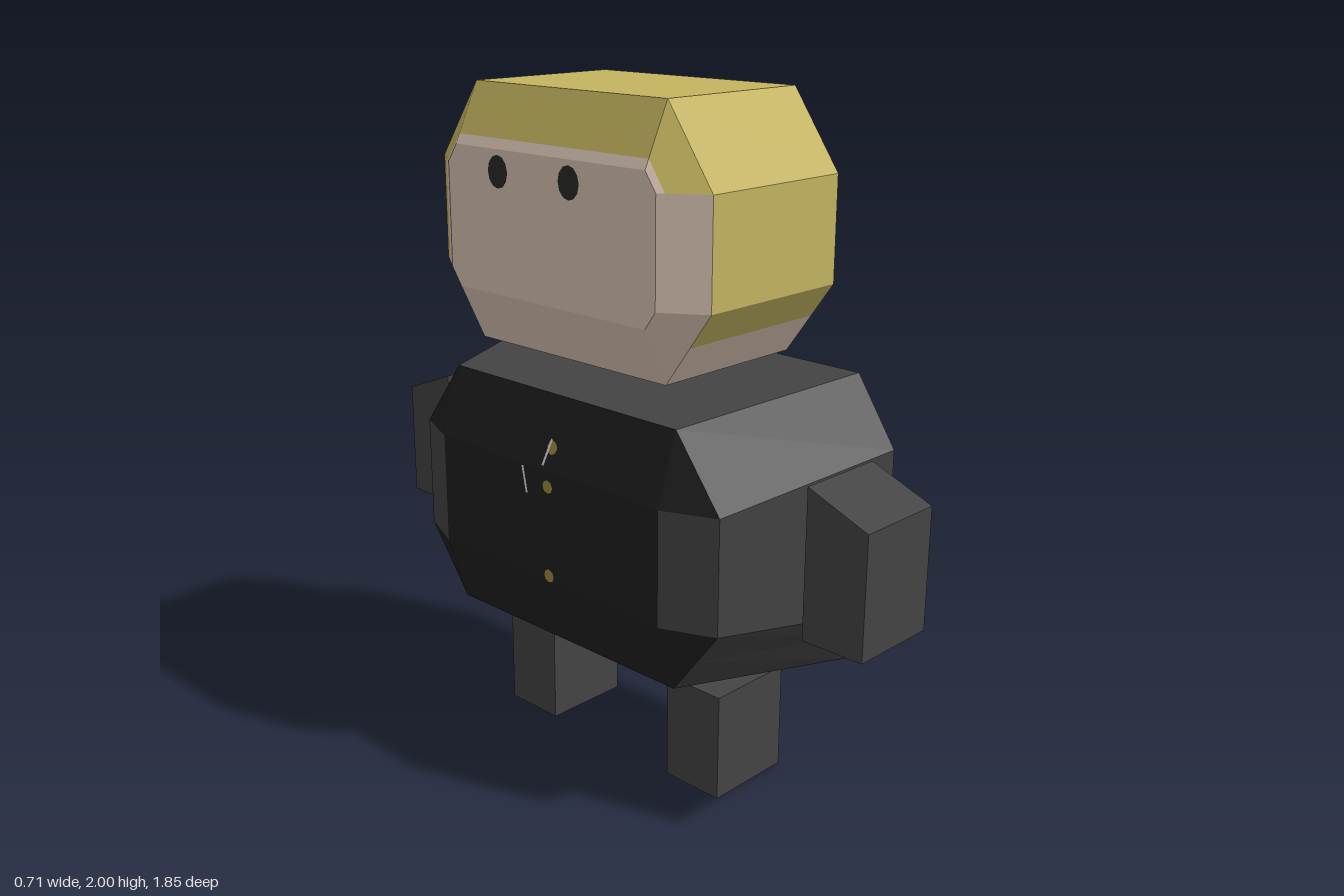
import * as THREE from 'three';

const mat = (name, color) => Object.assign(new THREE.MeshStandardMaterial({ color, flatShading: true }), { name });

// Ten-point ring in the zy plane: a chamfered rectangle; t = 1 shrinks it to its inner rectangle
function ring(x, s, t = 0) {
  const top = THREE.MathUtils.lerp(s.top, s.up, t);
  const bot = THREE.MathUtils.lerp(s.bot, s.lo, t);
  const zo = THREE.MathUtils.lerp(s.zOut, s.zIn, t);
  const midY = THREE.MathUtils.lerp(s.lo, bot, 0.465);
  const midZ = THREE.MathUtils.lerp(zo, s.zIn, 0.465);
  const half = [[top, s.zIn], [s.up, zo], [s.lo, zo], [midY, midZ], [bot, s.zIn]];
  const mirrored = half.map(([y, z]) => [y, -z]).reverse();
  const pts = [...half, ...mirrored].map(([y, z]) => new THREE.Vector3(x, y, z));
  return [pts[9], ...pts.slice(0, 9)];
}

// Joins rings along x; pick(section, side) names the material of each face
function loft(name, rings, materials, pick) {
  const buckets = {};
  const tri = (key, ...p) => {
    (buckets[key] ??= []).push(...p.flatMap(v => v.toArray()));
  };
  for (let i = 0; i < rings.length - 1; i++) {
    const a = rings[i], b = rings[i + 1];
    for (let j = 0; j < 10; j++) {
      const k = (j + 1) % 10, key = pick(i, j);
      tri(key, a[j], a[k], b[k]);
      tri(key, a[j], b[k], b[j]);
    }
  }
  const first = rings[0], last = rings[rings.length - 1];
  for (let j = 1; j < 9; j++) {
    tri(pick(0, -1), first[0], first[j + 1], first[j]);
    tri(pick(rings.length - 2, -1), last[0], last[j], last[j + 1]);
  }
  const group = new THREE.Group();
  group.name = name;
  for (const key in buckets) {
    const geo = new THREE.BufferGeometry();
    geo.setAttribute('position', new THREE.Float32BufferAttribute(buckets[key], 3));
    geo.computeVertexNormals();
    const mesh = new THREE.Mesh(geo, materials[key]);
    mesh.name = `${name} ${key}`;
    group.add(mesh);
  }
  return group;
}

export function createModel() {
  const model = new THREE.Group();
  const m = {
    hair: mat('hair', 0xc4b460),
    skin: mat('skin', 0xdcc6b6),
    coat: mat('coat', 0x444444),
    coatFront: mat('coatFront', 0x1f1f1f),
    eye: mat('eye', 0x2a2a28),
    button: mat('button', 0xa08a3c),
    shirt: mat('shirt', 0xdddddd),
  };

  // Head: face on the -x side, hair wrapping the rest
  const h = { top: 2, up: 1.78, lo: 1.48, bot: 1.265, zIn: 0.365, zOut: 0.52 };
  const headRings = [-0.33, -0.317, -0.29, -0.25, 0.25, 0.299, 0.355]
    .map(x => ring(x, h, Math.max(0, Math.abs(x) - 0.25) / 0.105));
  model.add(loft('head', headRings, m, (i, j) => {
    if (j === -1) return i === 0 ? 'skin' : 'hair';
    if (i === 0) return 'skin';
    if (i < 3) {
      if (j === 8) return i === 2 ? 'hair' : 'skin';
      return j < 2 || j === 9 ? 'hair' : 'skin';
    }
    if (i === 5) return 'hair';
    if (i === 3 && j === 7) return 'skin';
    return j >= 4 && j <= 6 ? 'skin' : 'hair';
  }));

  // Body: chamfered block that tapers towards -x
  const back = { top: 1.235, up: 1.04, lo: 0.56, bot: 0.36, zIn: 0.59, zOut: 0.72 };
  const front = { top: 1.17, up: 0.965, lo: 0.63, bot: 0.425, zIn: 0.44, zOut: 0.595 };
  const bodyRings = [ring(-0.355, front, 1), ring(-0.29, front), ring(0.29, back), ring(0.355, back, 1)];
  model.add(loft('body', bodyRings, m, (i, j) => (i === 0 && j !== 2 && j !== 8 ? 'coatFront' : 'coat')));

  for (const side of [1, -1]) {
    const label = side > 0 ? 'front' : 'back';

    // Arm: block with a top sloping down outwards
    const armGeo = new THREE.BoxGeometry(0.28, 0.435, 0.195);
    armGeo.translate(0.035, 0.8225, side * 0.8275);
    const p = armGeo.attributes.position;
    for (let i = 0; i < p.count; i++) {
      if (p.getY(i) > 1 && Math.abs(p.getZ(i)) > 0.85) p.setY(i, 0.963);
    }
    armGeo.computeVertexNormals();
    const arm = new THREE.Mesh(armGeo, m.coat);
    arm.name = `${label}Arm`;
    model.add(arm);

    // Leg
    const leg = new THREE.Mesh(new THREE.BoxGeometry(0.28, 0.325, 0.2), m.coat);
    leg.name = `${label}Leg`;
    leg.position.set(0.035, 0.1625, side * 0.345);
    model.add(leg);
  }

  // Flat painted details facing -x
  const plate = (name, geo, material, x, y, z, tilt = 0) => {
    const mesh = new THREE.Mesh(geo, material);
    mesh.name = name;
    mesh.position.set(x, y, z);
    mesh.lookAt(x - 1, y + tilt, z);
    model.add(mesh);
    return mesh;
  };
  for (const z of [-0.19, 0.09]) {
    plate('eye', new THREE.CircleGeometry(0.04, 12), m.eye, -0.332, 1.772, z).scale.y = 1.15;
  }
  const dot = new THREE.CircleGeometry(0.02, 8);
  plate('button', dot, m.button, -0.357, 0.92, 0.015);
  plate('button', dot, m.button, -0.357, 0.65, 0.015);
  plate('button', dot, m.button, -0.336, 1.03, 0.015, 0.317);
  const strip = new THREE.PlaneGeometry(0.008, 0.08);
  plate('shirtEdge', strip, m.shirt, -0.357, 0.92, -0.08).rotateZ(0.2);
  plate('shirtEdge', strip, m.shirt, -0.341, 1.015, 0.0, 0.317).rotateZ(-0.2);

  return model;
}
